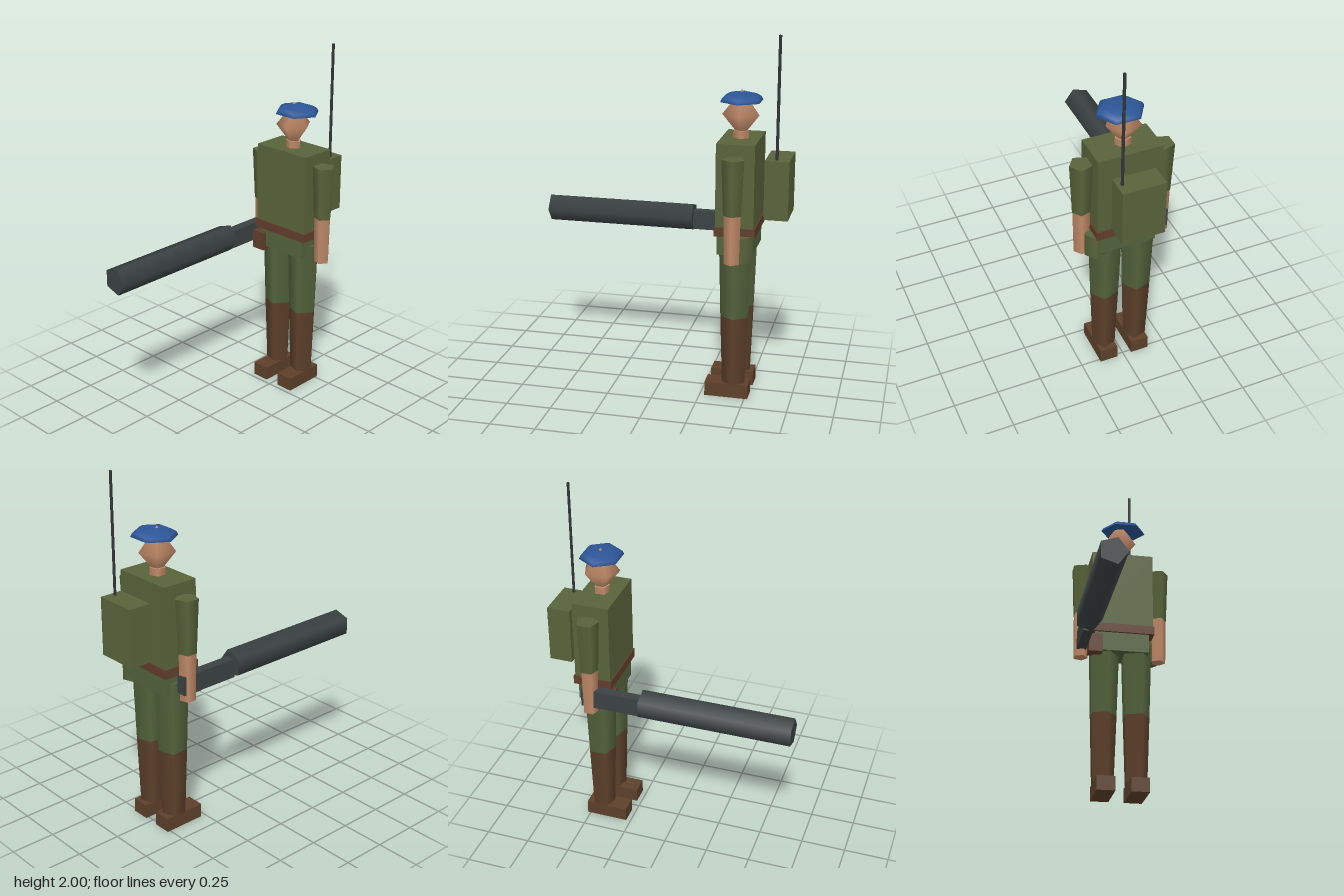
import * as THREE from 'three';

const colours = {
  shirt: 0x58633a, trousers: 0x53633b, leather: 0x613d2a, boots: 0x5d402a,
  skin: 0xc08a68, beret: 0x2c5596, gunmetal: 0x3b4143, antenna: 0x333638,
};

export function createModel() {
  const model = new THREE.Group();
  model.name = 'soldier';
  const mats = {};
  for (const [name, color] of Object.entries(colours)) {
    mats[name] = new THREE.MeshStandardMaterial({ color });
    mats[name].name = name;
  }
  const CX = -0.003, CZ = -0.432; // body axis

  function add(name, geo, mat, x, y, z) {
    const mesh = new THREE.Mesh(geo, mats[mat]);
    mesh.name = name;
    mesh.position.set(x, y, z);
    model.add(mesh);
    return mesh;
  }
  // box from its extents
  function box(name, mat, x0, x1, y0, y1, z0, z1) {
    return add(name, new THREE.BoxGeometry(x1 - x0, y1 - y0, z1 - z0), mat,
      (x0 + x1) / 2, (y0 + y1) / 2, (z0 + z1) / 2);
  }
  // upright five-sided limb with one corner towards +x
  function limb(name, mat, x, z, y0, y1, rBottom, rTop) {
    const geo = new THREE.CylinderGeometry(rTop, rBottom, y1 - y0, 5);
    geo.rotateY(Math.PI / 2);
    return add(name, geo, mat, x, (y0 + y1) / 2, z);
  }

  // Torso, hips and belt
  box('torso', 'shirt', CX - 0.178, CX + 0.178, 0.97, 1.44, CZ - 0.103, CZ + 0.102);
  box('hips', 'trousers', CX - 0.156, CX + 0.156, 0.83, 0.98, CZ - 0.095, CZ + 0.095);
  box('belt', 'leather', CX - 0.185, CX + 0.185, 0.94, 0.99, CZ - 0.111, CZ + 0.108);

  // Arms and legs
  for (const [side, s] of [['left', 1], ['right', -1]]) {
    const armX = CX + s * 0.226, legX = CX + s * 0.094;
    limb(side + 'Sleeve', 'shirt', armX, CZ, 1.075, 1.375, 0.05, 0.063);
    limb(side + 'Forearm', 'skin', armX, CZ, 0.81, 1.08, 0.043, 0.048);
    limb(side + 'Thigh', 'trousers', legX, CZ, 0.47, 0.89, 0.08, 0.093);
    limb(side + 'BootShaft', 'boots', legX, CZ, 0.08, 0.47, 0.066, 0.08);
    box(side + 'Boot', 'boots', legX - 0.051, legX + 0.051, 0, 0.08, -0.517, -0.277);
  }

  // Neck and angular head
  limb('neck', 'skin', CX, CZ, 1.43, 1.48, 0.044, 0.044);
  const headGeo = new THREE.SphereGeometry(1, 5, 2);
  headGeo.rotateY(Math.PI); // corner towards +x
  headGeo.scale(0.095, 0.13, 0.104);
  add('head', headGeo, 'skin', CX, 1.568, CZ);

  // Beret: shallow six-sided dome with a closed underside
  const dome = new THREE.SphereGeometry(1, 6, 4, 0, Math.PI * 2, 0, Math.PI / 2);
  dome.scale(0.131, 0.048, 0.119);
  add('beret', dome, 'beret', 0.016, 1.64, CZ - 0.002);
  const under = new THREE.CircleGeometry(1, 6);
  under.rotateX(Math.PI / 2);
  under.scale(0.131, 1, 0.119);
  add('beretUnderside', under, 'beret', 0.016, 1.64, CZ - 0.002);

  // Radio pack with antenna
  box('radioPack', 'shirt', -0.121, 0.118, 1.03, 1.35, -0.707, -0.578);
  add('antenna', new THREE.CylinderGeometry(0.008, 0.008, 0.66, 6), 'antenna', 0.09, 1.67, -0.638);

  // Belt gear
  limb('canteen', 'shirt', 0.166, -0.48, 0.81, 0.95, 0.059, 0.059);
  box('holster', 'leather', -0.197, -0.118, 0.81, 0.917, -0.39, -0.313);

  // Weapon held in the right hand
  const tube = new THREE.CylinderGeometry(0.078, 0.078, 0.84, 5);
  tube.rotateY(Math.PI / 2);
  tube.rotateX(Math.PI / 2);
  add('weaponBarrel', tube, 'gunmetal', -0.228, 0.92, 0.286);
  box('weaponGrip', 'gunmetal', -0.255, -0.2, 0.85, 0.955, -0.475, -0.13);

  return model;
}
